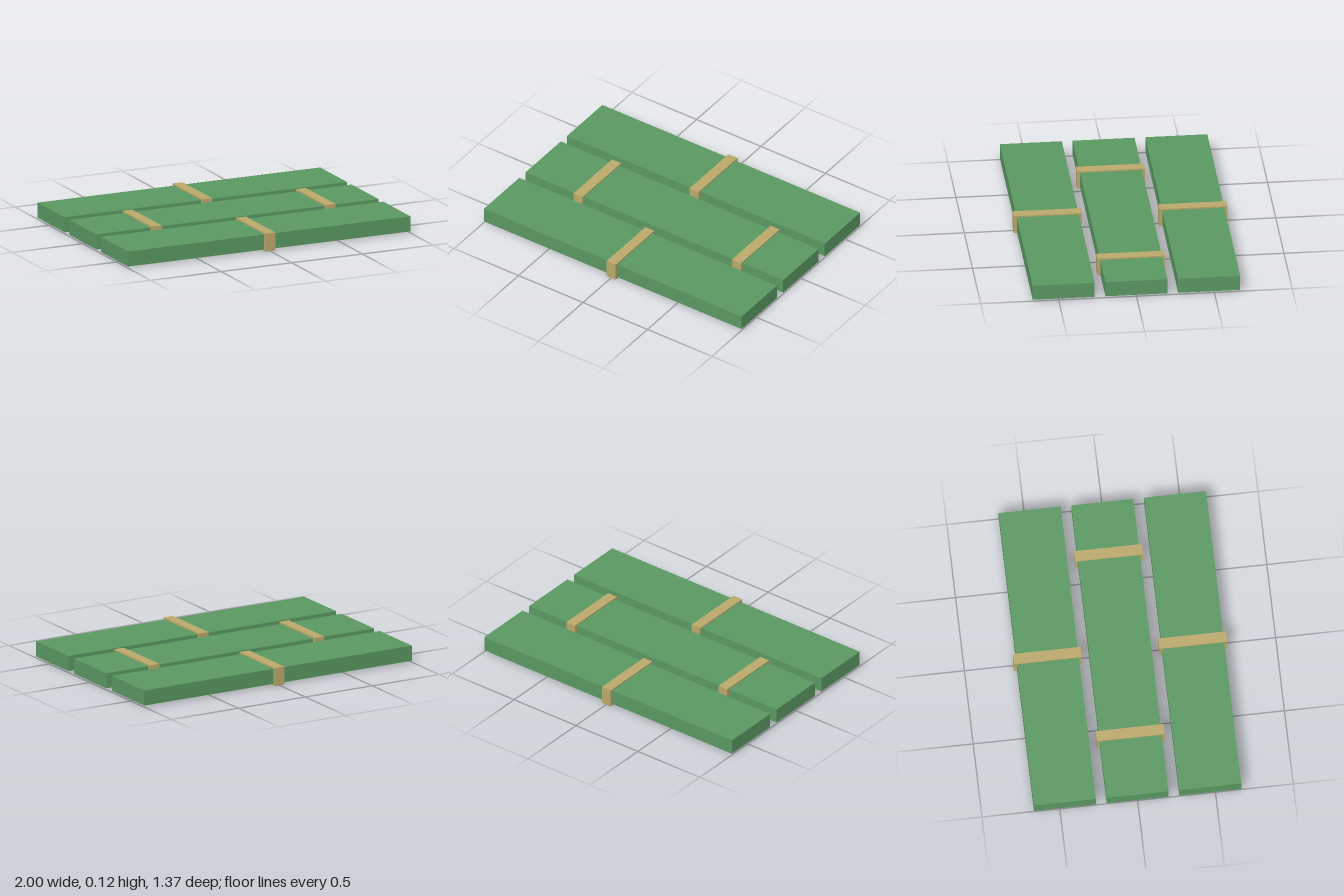
import * as THREE from 'three';

const green = new THREE.MeshStandardMaterial({ color: 0x5a9862 });
const tan = new THREE.MeshStandardMaterial({ color: 0xbaa96b });

function box(name, w, h, d, x, material) {
  const mesh = new THREE.Mesh(new THREE.BoxGeometry(w, h, d), material);
  mesh.name = name;
  mesh.position.set(x, 0.06, 0);
  return mesh;
}

// Each row: a plank with the x positions of the straps around it
const rows = [
  { name: 'backPlank', z: -0.467, straps: [0] },
  { name: 'middlePlank', z: 0, straps: [-0.58, 0.65] },
  { name: 'frontPlank', z: 0.467, straps: [0] },
];

export function createModel() {
  const model = new THREE.Group();
  model.name = 'strappedPlanks';
  for (const { name, z, straps } of rows) {
    const row = new THREE.Group();
    row.name = name + 'Row';
    row.position.z = z;
    row.add(box(name, 2, 0.1, 0.398, 0, green));
    // Straps stand slightly proud of the plank on all four sides
    straps.forEach((x, i) => row.add(box(`strap${i + 1}`, 0.07, 0.12, 0.436, x, tan)));
    model.add(row);
  }
  return model;
}
